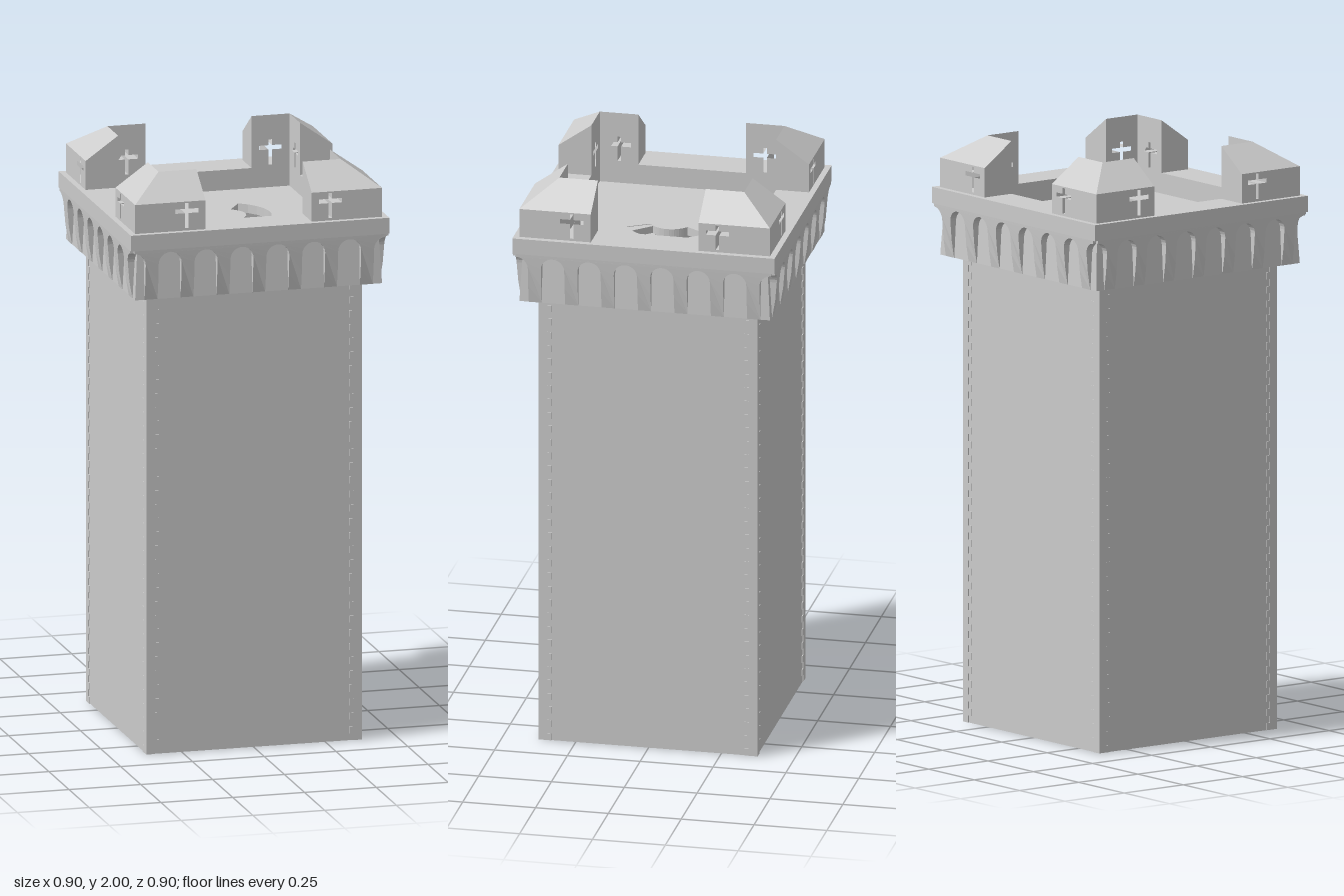
import * as THREE from 'three';
import { mergeGeometries } from 'three/addons/utils/BufferGeometryUtils.js';

const flat = new THREE.MeshStandardMaterial({ color: 0xcccccc, flatShading: true });
const smooth = new THREE.MeshStandardMaterial({ color: 0xcccccc });

const INNER = 0.317, EAVE = 0.43, FLOOR_Y = 1.75;
const COLUMN_R = 0.075, STAIR_R = 0.16;

function part(name, geometry, material = flat) {
  const mesh = new THREE.Mesh(geometry, material);
  mesh.name = name;
  return mesh;
}

// Square ring: a closed [half width, y] profile turned with four sides
function squareRing(profile) {
  const pts = profile.map(([r, y]) => new THREE.Vector2(r * Math.SQRT2, y));
  return new THREE.LatheGeometry(pts, 4).rotateY(Math.PI / 4);
}

// Move every vertex of a geometry by a rule
function reshape(geometry, rule) {
  const p = geometry.attributes.position, v = new THREE.Vector3();
  for (let i = 0; i < p.count; i++) {
    rule(v.fromBufferAttribute(p, i));
    p.setXYZ(i, v.x, v.y, v.z);
  }
  geometry.computeVertexNormals();
  return geometry;
}

// Ring sector in plan, used for stair treads and the stairwell opening
function sector(a0, a1, steps, PathType) {
  const pts = [];
  for (let i = 0; i <= steps; i++) {
    const a = a0 + ((a1 - a0) * i) / steps;
    pts.push(new THREE.Vector2(STAIR_R * Math.cos(a), STAIR_R * Math.sin(a)));
  }
  for (let i = steps; i >= 0; i--) {
    const a = a0 + ((a1 - a0) * i) / steps;
    pts.push(new THREE.Vector2(COLUMN_R * Math.cos(a), COLUMN_R * Math.sin(a)));
  }
  return new PathType(pts);
}

// Horizontal slab: plan shape (x, z) extruded downwards from y
function slab(shape, y, thickness) {
  return new THREE.ExtrudeGeometry(shape, { depth: thickness, bevelEnabled: false })
    .rotateX(Math.PI / 2).translate(0, y, 0);
}

// One arm of a corner merlon: cross slit, sloping top, mitred end
function merlonArm(s) {
  const pts = list => list.map(([x, y]) => new THREE.Vector2(s * x, y));
  const shape = new THREE.Shape(pts([[0.185, 1.82], [EAVE, 1.82], [EAVE, 1.92], [0.185, 1.92]]));
  const c = 0.25, w = 0.006, arm = 0.04;
  shape.holes.push(new THREE.Path(pts([
    [c - w, 1.828], [c + w, 1.828], [c + w, 1.88], [c + arm, 1.88], [c + arm, 1.895], [c + w, 1.895],
    [c + w, 1.915], [c - w, 1.915], [c - w, 1.895], [c - arm, 1.895], [c - arm, 1.88], [c - w, 1.88],
  ])));
  const geo = new THREE.ExtrudeGeometry(shape, { depth: 1, bevelEnabled: false });
  return reshape(geo, v => {
    const inside = v.z < 0.5;
    v.z = inside ? INNER : EAVE;
    if (inside && Math.abs(v.x) > 0.42) v.x = s * INNER;
    if (inside && v.y > 1.919) v.y = 2;
  });
}

// Row of corbels joined by round arches, leaning outwards to the top
function corbelRow() {
  const pitch = 0.125, r = 0.04, spring = 1.715, n = 6;
  const pts = [[-3.5 * pitch, 1.768], [3.5 * pitch, 1.768]];
  for (let i = 3; i >= -3; i--) {
    const side = s => {
      const half = [];
      for (let k = 0; k <= n; k++) {
        const a = (k / n) * Math.PI / 2;
        half.push([i * pitch + s * (pitch / 2 - r * Math.sin(a)), spring + r * Math.cos(a)]);
      }
      const x = i * pitch + s * (pitch / 2 - r);
      half.push([x, 1.65], [x, 1.59]);
      return half;
    };
    const left = side(-1).reverse();
    if (i > -3) left.pop();
    pts.push(...side(1), ...left);
  }
  const shape = new THREE.Shape(pts.map(([x, y]) => new THREE.Vector2(x, y)));
  const geo = new THREE.ExtrudeGeometry(shape, { depth: 1, bevelEnabled: false });
  return reshape(geo, v => {
    const t = Math.min(1, Math.max(0, (v.y - 1.59) / 0.175));
    v.z = v.z < 0.5 ? 0.41 : 0.431 + 0.019 * Math.pow(t, 0.6);
  });
}

// Small corner stones, long side alternating between the two faces
function quoins() {
  const rows = 66, h = 1.585 / rows, out = 0.376, boxes = [];
  for (let i = 0; i < rows; i++) {
    for (const [sx, sz] of [[1, 1], [1, -1], [-1, 1], [-1, -1]]) {
      const lx = i % 2 ? 0.045 : 0.03, lz = i % 2 ? 0.03 : 0.045;
      boxes.push(new THREE.BoxGeometry(lx, h, lz)
        .translate(sx * (out - lx / 2), (i + 0.5) * h, sz * (out - lz / 2)));
    }
  }
  return mergeGeometries(boxes);
}

// Spiral treads winding up to the stairwell opening
function stairs(endAngle) {
  const count = 72, turn = THREE.MathUtils.degToRad(13.5), rise = FLOOR_Y / count, treads = [];
  for (let i = 0; i < count; i++) {
    const a1 = endAngle - (count - 1 - i) * turn;
    treads.push(slab(sector(a1 - turn, a1, 1, THREE.Shape), (i + 1) * rise - 0.002, rise));
  }
  return mergeGeometries(treads);
}

export function createModel() {
  const tower = new THREE.Group();
  tower.name = 'tower';

  // Hollow shaft, open at the bottom
  tower.add(part('shaft', squareRing([
    [INNER, 0], [0.373, 0], [0.373, 1.6], [INNER, 1.6], [INNER, 0],
  ])));
  tower.add(part('cornerStones', quoins()));

  // Overhanging parapet with cornice band
  tower.add(part('parapet', squareRing([
    [INNER, 1.59], [0.43, 1.59], [0.42, 1.765], [0.45, 1.765],
    [0.45, 1.82], [INNER, 1.82], [INNER, 1.59],
  ])));

  // Arches and merlon arms on the four sides
  for (let k = 0; k < 4; k++) {
    const side = new THREE.Group();
    side.name = 'parapetSide';
    side.rotation.y = (k * Math.PI) / 2;
    side.add(part('corbelArches', corbelRow()));
    for (const s of [-1, 1]) side.add(part('merlonArm', merlonArm(s)));
    tower.add(side);
  }

  // Roof floor with the stairwell opening
  const a0 = THREE.MathUtils.degToRad(-57), a1 = THREE.MathUtils.degToRad(60);
  const plan = new THREE.Shape([[-1, -1], [1, -1], [1, 1], [-1, 1]]
    .map(([x, z]) => new THREE.Vector2(x * INNER, z * INNER)));
  plan.holes.push(sector(a0, a1, 9, THREE.Path));
  tower.add(part('roofFloor', slab(plan, FLOOR_Y, 0.03)));

  // Spiral staircase around its column
  const height = FLOOR_Y - 0.005;
  tower.add(part('stairColumn',
    new THREE.CylinderGeometry(COLUMN_R, COLUMN_R, height, 32).translate(0, height / 2, 0), smooth));
  tower.add(part('spiralStairs', stairs(a1)));

  return tower;
}
